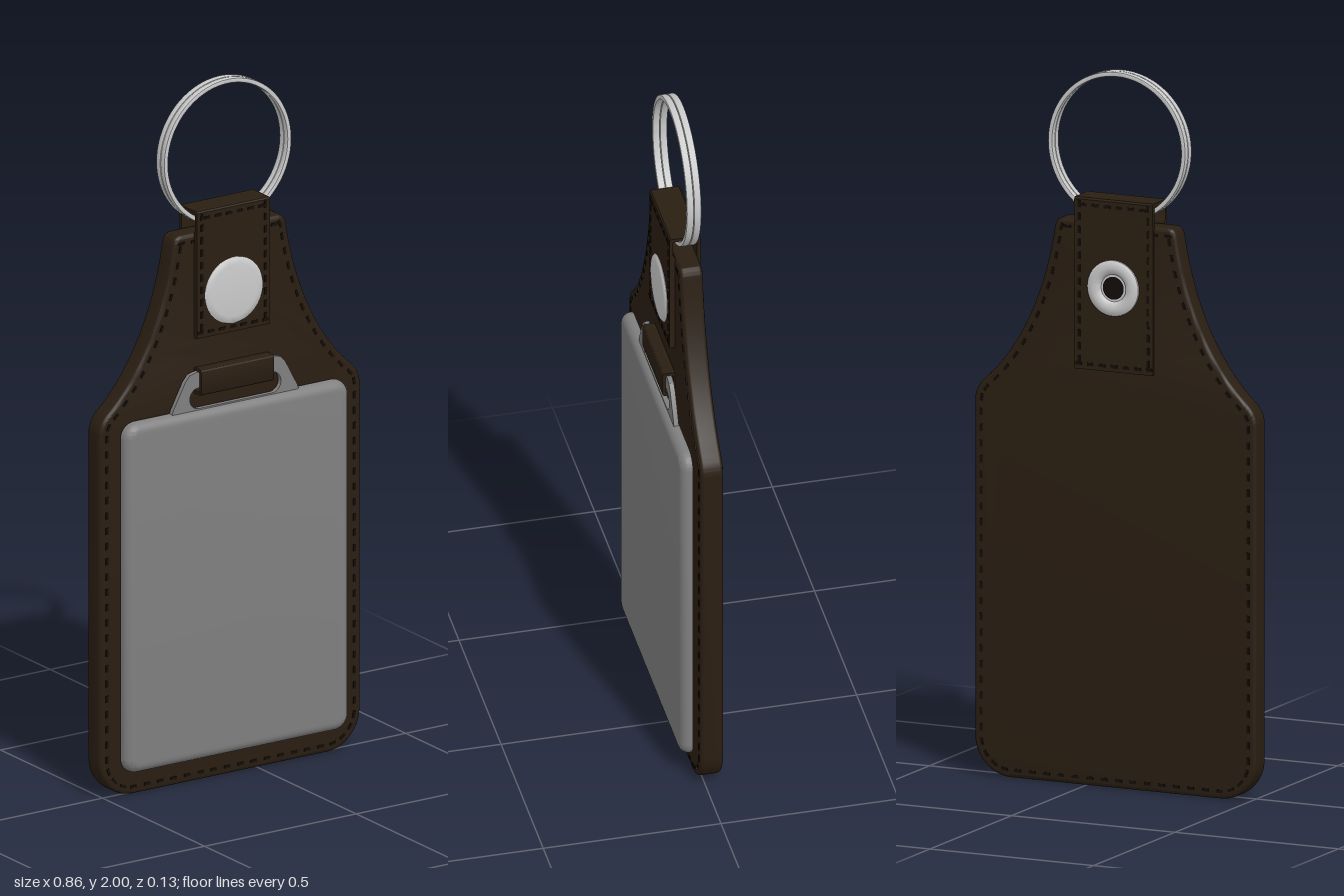
import * as THREE from 'three';
import { mergeGeometries, toCreasedNormals } from 'three/addons/utils/BufferGeometryUtils.js';

const mat = (color) => new THREE.MeshStandardMaterial({ color });
const leather = mat(0x2a1e12), thread = mat(0x130d07), steel = mat(0xcccccc), plateSteel = mat(0x808080);

function add(group, name, geometry, material) {
  const mesh = new THREE.Mesh(geometry, material);
  mesh.name = name;
  group.add(mesh);
  return mesh;
}

const shapeOf = (pts) => new THREE.Shape(pts.map(([x, y]) => new THREE.Vector2(x, y)));

// Extrude to z0..z1 with a bevel that stays inside the outline
function slab(shape, z0, z1, bevel, segments = 3) {
  const g = new THREE.ExtrudeGeometry(shape, {
    depth: z1 - z0 - 2 * bevel, bevelEnabled: bevel > 0, bevelThickness: bevel, bevelSize: bevel,
    bevelOffset: -bevel, bevelSegments: segments, curveSegments: 12,
  });
  g.translate(0, 0, z0 + bevel);
  return toCreasedNormals(g, 0.6);
}

function roundedRect(x0, y0, x1, y1, r, Type = THREE.Shape) {
  const s = new Type();
  s.moveTo(x0 + r, y0);
  s.lineTo(x1 - r, y0);
  s.absarc(x1 - r, y0 + r, r, -Math.PI / 2, 0);
  s.lineTo(x1, y1 - r);
  s.absarc(x1 - r, y1 - r, r, 0, Math.PI / 2);
  s.lineTo(x0 + r, y1);
  s.absarc(x0 + r, y1 - r, r, Math.PI / 2, Math.PI);
  s.lineTo(x0, y0 + r);
  s.absarc(x0 + r, y0 + r, r, Math.PI, Math.PI * 1.5);
  return s;
}

// Fob outline: rounded bottom, concave shoulders, narrow neck
function fobShape() {
  const s = new THREE.Shape();
  s.moveTo(-0.32, 0);
  s.lineTo(0.32, 0);
  s.absarc(0.32, 0.11, 0.11, -Math.PI / 2, 0);
  s.lineTo(0.43, 1.05);
  s.quadraticCurveTo(0.43, 1.085, 0.395, 1.114);
  s.bezierCurveTo(0.29, 1.21, 0.215, 1.37, 0.187, 1.55);
  s.quadraticCurveTo(0.183, 1.58, 0.16, 1.58);
  s.lineTo(-0.16, 1.58);
  s.quadraticCurveTo(-0.183, 1.58, -0.187, 1.55);
  s.bezierCurveTo(-0.215, 1.37, -0.29, 1.21, -0.395, 1.114);
  s.quadraticCurveTo(-0.43, 1.085, -0.43, 1.05);
  s.lineTo(-0.43, 0.11);
  s.absarc(-0.32, 0.11, 0.11, Math.PI, Math.PI * 1.5);
  return s;
}

// Row of short stitches along a counter-clockwise outline, inset from its edge
function stitches(shape, spacing, inset, zs) {
  const n = Math.round(shape.getLength() / spacing);
  const parts = [];
  for (let i = 0; i < n; i++) {
    const p = shape.getPointAt(i / n), t = shape.getTangentAt(i / n);
    for (const z of zs) {
      const g = new THREE.BoxGeometry(0.02, 0.008, 0.004);
      g.rotateZ(Math.atan2(t.y, t.x));
      g.translate(p.x - t.y * inset, p.y + t.x * inset, z);
      parts.push(g);
    }
  }
  return mergeGeometries(parts);
}

// Side profile given as [z, y], extruded across x
function across(shape, width) {
  const g = new THREE.ExtrudeGeometry(shape, { depth: width, bevelEnabled: false, curveSegments: 6 });
  g.translate(0, 0, -width / 2);
  g.rotateY(Math.PI / 2);
  return toCreasedNormals(g, 0.6);
}

const lathe = (pts) => {
  const g = new THREE.LatheGeometry(pts.map(([r, h]) => new THREE.Vector2(r, h)), 40);
  g.rotateX(Math.PI / 2);
  return toCreasedNormals(g.toNonIndexed(), 0.6);
};

export function createModel() {
  const root = new THREE.Group();
  root.name = 'keyFob';

  // Leather body and border stitching
  const fob = fobShape();
  add(root, 'leatherBody', slab(fob, -0.046, 0.018, 0.01), leather);
  add(root, 'borderStitches', stitches(fob, 0.044, 0.022, [0.018, -0.046]), thread);

  // Metal plate: soft front edge, flat back
  const plate = slab(roundedRect(-0.37, 0.07, 0.37, 1.08, 0.045), -0.03, 0.03, 0.028, 6);
  const pos = plate.attributes.position;
  for (let i = 0; i < pos.count; i++) pos.setZ(i, Math.max(pos.getZ(i), -0.004));
  plate.translate(0, 0, 0.03);
  plate.deleteAttribute('normal');
  add(root, 'metalPlate', toCreasedNormals(plate, 0.6), plateSteel);

  // Slotted hanger tab on top of the plate
  const tab = shapeOf([[-0.22, 1.04], [0.22, 1.04], [0.205, 1.09], [0.165, 1.165], [0.15, 1.182],
    [0.13, 1.187], [-0.13, 1.187], [-0.15, 1.182], [-0.165, 1.165], [-0.205, 1.09]]);
  tab.holes.push(roundedRect(-0.15, 1.082, 0.15, 1.142, 0.029, THREE.Path));
  add(root, 'hangerTab', slab(tab, 0.028, 0.042, 0), plateSteel);

  // Leather loop through the tab slot
  const loop = roundedRect(-0.053, 1.12, -0.014, 1.195, 0.008);
  loop.holes.push(roundedRect(-0.044, 1.129, -0.022, 1.186, 0.004, THREE.Path));
  add(root, 'tabLoop', across(loop, 0.24), leather);

  // Strap folded over the neck, longer at the back
  const strap = shapeOf([[-0.033, 1.28], [-0.017, 1.28], [-0.017, 1.58], [-0.023, 1.59], [-0.023, 1.635],
    [0.044, 1.635], [0.044, 1.165], [0.053, 1.165], [0.054, 1.64], [0.049, 1.645],
    [-0.029, 1.645], [-0.033, 1.641]]);
  add(root, 'foldedStrap', across(strap, 0.24), leather);
  add(root, 'strapFrontStitches', stitches(roundedRect(-0.12, 1.28, 0.12, 1.64, 0.01), 0.036, 0.015, [0.033]), thread);
  add(root, 'strapBackStitches', stitches(roundedRect(-0.12, 1.165, 0.12, 1.64, 0.01), 0.036, 0.015, [-0.0535]), thread);

  // Snap: smooth cap in front, hollow rivet behind
  add(root, 'snapCap', lathe([[0.095, 0], [0.095, 0.004], [0.09, 0.008], [0.075, 0.01], [0, 0.011]]), steel)
    .position.set(0, 1.4, 0.03);
  const rivet = add(root, 'snapRivet', lathe([[0.078, 0], [0.078, 0.006], [0.072, 0.011], [0.058, 0.013],
    [0.046, 0.011], [0.04, 0.006], [0.038, 0.001], [0, 0.001]]), steel);
  rivet.position.set(0, 1.4, -0.053);
  rivet.rotation.y = Math.PI;
  const hole = add(root, 'rivetHole', new THREE.CircleGeometry(0.032, 32), thread);
  hole.position.set(0, 1.4, -0.0555);
  hole.rotation.y = Math.PI;

  // Split ring: two flat coils
  const ring = new THREE.Group();
  ring.name = 'splitRing';
  ring.position.set(0, 1.79, -0.015);
  for (const side of [-1, 1]) {
    const coil = new THREE.Shape();
    coil.absarc(0, 0, 0.21, 0, Math.PI * 2);
    const inner = new THREE.Path();
    inner.absarc(0, 0, 0.197, 0, Math.PI * 2, true);
    coil.holes.push(inner);
    const g = new THREE.ExtrudeGeometry(coil, {
      depth: 0.014, bevelThickness: 0.003, bevelSize: 0.003, bevelOffset: -0.003, bevelSegments: 2, curveSegments: 64,
    });
    g.translate(0, 0, -0.007 + side * 0.0105);
    add(ring, 'ringCoil', toCreasedNormals(g, 0.6), steel);
  }
  root.add(ring);

  root.position.x = -0.09;
  const model = new THREE.Group();
  model.add(root);
  return model;
}
